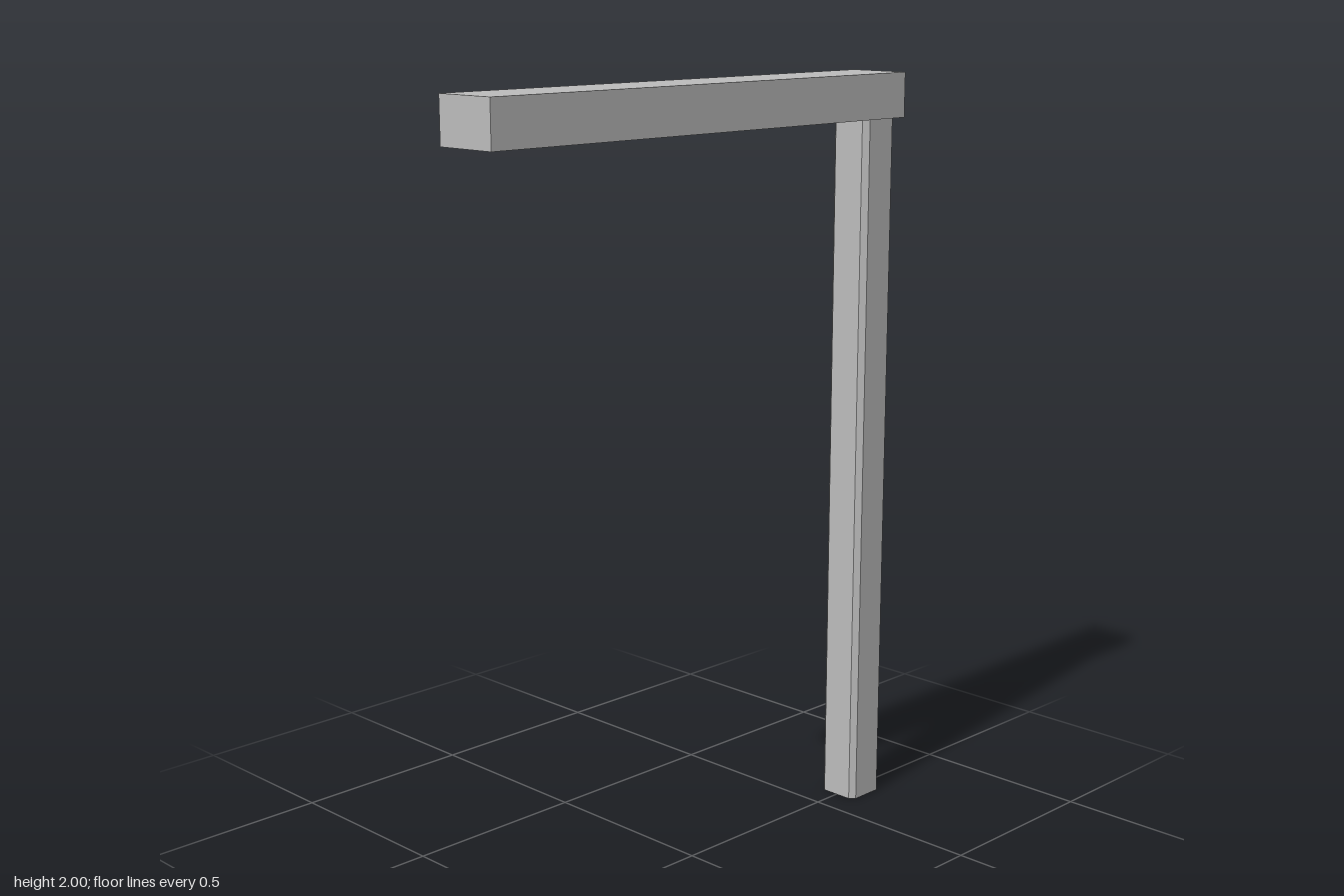
import * as THREE from 'three';

export function createModel() {
  const group = new THREE.Group();
  const grey = new THREE.MeshStandardMaterial({ color: 0xbcbcbc });
  grey.name = 'light grey';

  const beamWidth = 0.174, beamHeight = 0.116, beamLength = 1.394;
  const half = 0.059, chamfer = 0.014;
  const postHeight = 2 - beamHeight;

  // Horizontal beam along z
  const beam = new THREE.Mesh(new THREE.BoxGeometry(beamWidth, beamHeight, beamLength), grey);
  beam.name = 'beam';
  beam.position.y = 2 - beamHeight / 2;
  group.add(beam);

  // Upright post with chamfered corners, flush with the back end of the beam
  const c = half - chamfer;
  const section = new THREE.Shape([
    [c, -half], [half, -c], [half, c], [c, half],
    [-c, half], [-half, c], [-half, -c], [-c, -half],
  ].map(([x, y]) => new THREE.Vector2(x, y)));
  const postGeometry = new THREE.ExtrudeGeometry(section, { depth: postHeight, bevelEnabled: false });
  postGeometry.rotateX(-Math.PI / 2);
  const post = new THREE.Mesh(postGeometry, grey);
  post.name = 'post';
  post.position.z = -beamLength / 2 + half;
  group.add(post);

  return group;
}
